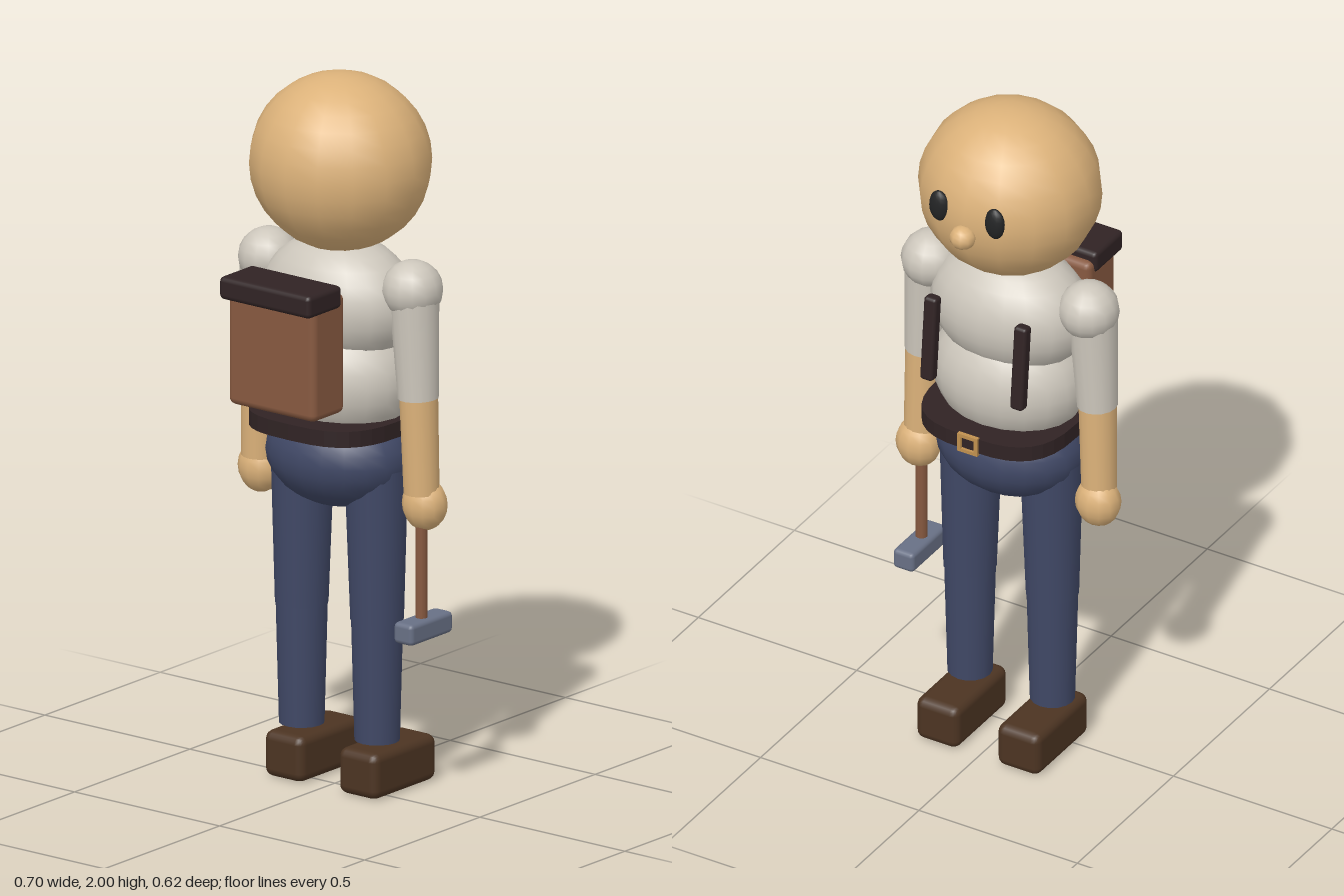
import * as THREE from 'three';
import { RoundedBoxGeometry } from 'three/addons/geometries/RoundedBoxGeometry.js';

const material = (name, color) => {
  const m = new THREE.MeshStandardMaterial({ color });
  m.name = name;
  return m;
};

export function createModel() {
  const skin = material('skin', 0xdcb27a);
  const shirt = material('shirt', 0xcdc7bc);
  const trousers = material('trousers', 0x404866);
  const boot = material('boot leather', 0x4c3422);
  const leather = material('pack leather', 0x875940);
  const dark = material('dark leather', 0x302324);
  const black = material('eye black', 0x232425);
  const steel = material('steel', 0x687085);
  const brass = material('brass', 0xc0904f);

  const model = new THREE.Group();
  model.name = 'traveller';
  const CZ = -0.02; // body axis, the face looks towards -z

  const add = (name, geometry, mat, x, y, z) => {
    const mesh = new THREE.Mesh(geometry, mat);
    mesh.name = name;
    mesh.position.set(x, y, z);
    model.add(mesh);
    return mesh;
  };
  const ball = (name, mat, [x, y, z], [rx, ry, rz], w = 16, h = 12) =>
    add(name, new THREE.SphereGeometry(1, w, h).scale(rx, ry, rz), mat, x, y, z);
  const block = (name, mat, [x, y, z], [w, h, d], r) =>
    add(name, new RoundedBoxGeometry(w, h, d, 2, r), mat, x, y, z);
  // Tapered limb between two points
  const limb = (name, mat, from, to, rFrom, rTo, sides = 16) => {
    const a = new THREE.Vector3(...from), b = new THREE.Vector3(...to);
    const dir = a.clone().sub(b);
    const mesh = add(name, new THREE.CylinderGeometry(rFrom, rTo, dir.length(), sides), mat, 0, 0, 0);
    mesh.position.copy(a).add(b).multiplyScalar(0.5);
    mesh.quaternion.setFromUnitVectors(new THREE.Vector3(0, 1, 0), dir.normalize());
    return mesh;
  };

  // Head
  ball('head', skin, [0, 1.754, -0.025], [0.254, 0.246, 0.243], 16, 16);
  ball('nose', skin, [0, 1.724, -0.272], [0.037, 0.034, 0.036], 10, 8);

  // Torso and hips
  ball('chest', shirt, [0, 1.37, CZ], [0.235, 0.18, 0.17], 20, 14);
  ball('belly', shirt, [0, 1.16, CZ], [0.225, 0.19, 0.18], 20, 14);
  ball('hips', trousers, [0, 0.935, CZ], [0.217, 0.148, 0.172], 20, 14);

  // Belt: a rounded-square slab
  const outline = [];
  for (let i = 0; i < 32; i++) {
    const a = (i / 32) * Math.PI * 2, c = Math.cos(a), s = Math.sin(a);
    const p = (v) => Math.sign(v) * Math.abs(v) ** (2 / 3);
    outline.push(new THREE.Vector2(0.217 * p(c), 0.222 * p(s)));
  }
  const beltGeometry = new THREE.ExtrudeGeometry(new THREE.Shape(outline), { depth: 0.045, bevelEnabled: false });
  beltGeometry.rotateX(-Math.PI / 2);
  add('belt', beltGeometry, dark, 0, 1.018, CZ);

  // Buckle: four thin bars
  for (const s of [-1, 1]) {
    add('buckleSide', new THREE.BoxGeometry(0.011, 0.056, 0.012), brass, s * 0.026, 1.04, -0.244);
    add('buckleBar', new THREE.BoxGeometry(0.06, 0.01, 0.012), brass, 0, 1.04 + s * 0.023, -0.244);
  }

  // Mirrored parts
  for (const s of [-1, 1]) {
    ball('eye', black, [s * 0.088, 1.785, -0.25], [0.03, 0.047, 0.018], 12, 10);

    ball('shoulder', shirt, [s * 0.248, 1.437, -0.025], [0.084, 0.082, 0.085], 14, 10);
    limb('upperArm', shirt, [s * 0.257, 1.44, CZ], [s * 0.272, 1.137, CZ], 0.069, 0.056);
    limb('forearm', skin, [s * 0.273, 1.15, CZ], [s * 0.28, 0.87, CZ - 0.004], 0.053, 0.049);
    ball('hand', skin, [s * 0.283, 0.836, -0.034], [0.065, 0.073, 0.058], 12, 10);

    limb('thigh', trousers, [s * 0.127, 0.92, CZ], [s * 0.13, 0.485, CZ], 0.087, 0.073);
    limb('shin', trousers, [s * 0.13, 0.49, CZ], [s * 0.13, 0.145, CZ], 0.071, 0.062);
    block('boot', boot, [s * 0.128, 0.065, -0.067], [0.135, 0.13, 0.272], 0.025);

    const strap = block('shoulderStrap', dark, [s * 0.142, 1.315, -0.205], [0.04, 0.255, 0.035], 0.01);
    strap.rotation.x = 0.09;
  }

  // Backpack
  block('backpack', leather, [0, 1.28, 0.21], [0.3, 0.34, 0.14], 0.02);
  block('backpackLid', dark, [0, 1.444, 0.236], [0.314, 0.064, 0.146], 0.014);

  // Hammer held in the left hand
  limb('hammerHandle', leather, [0.285, 0.88, -0.017], [0.285, 0.49, -0.017], 0.017, 0.017, 10);
  block('hammerHead', steel, [0.285, 0.49, -0.025], [0.066, 0.06, 0.182], 0.013);

  return model;
}
